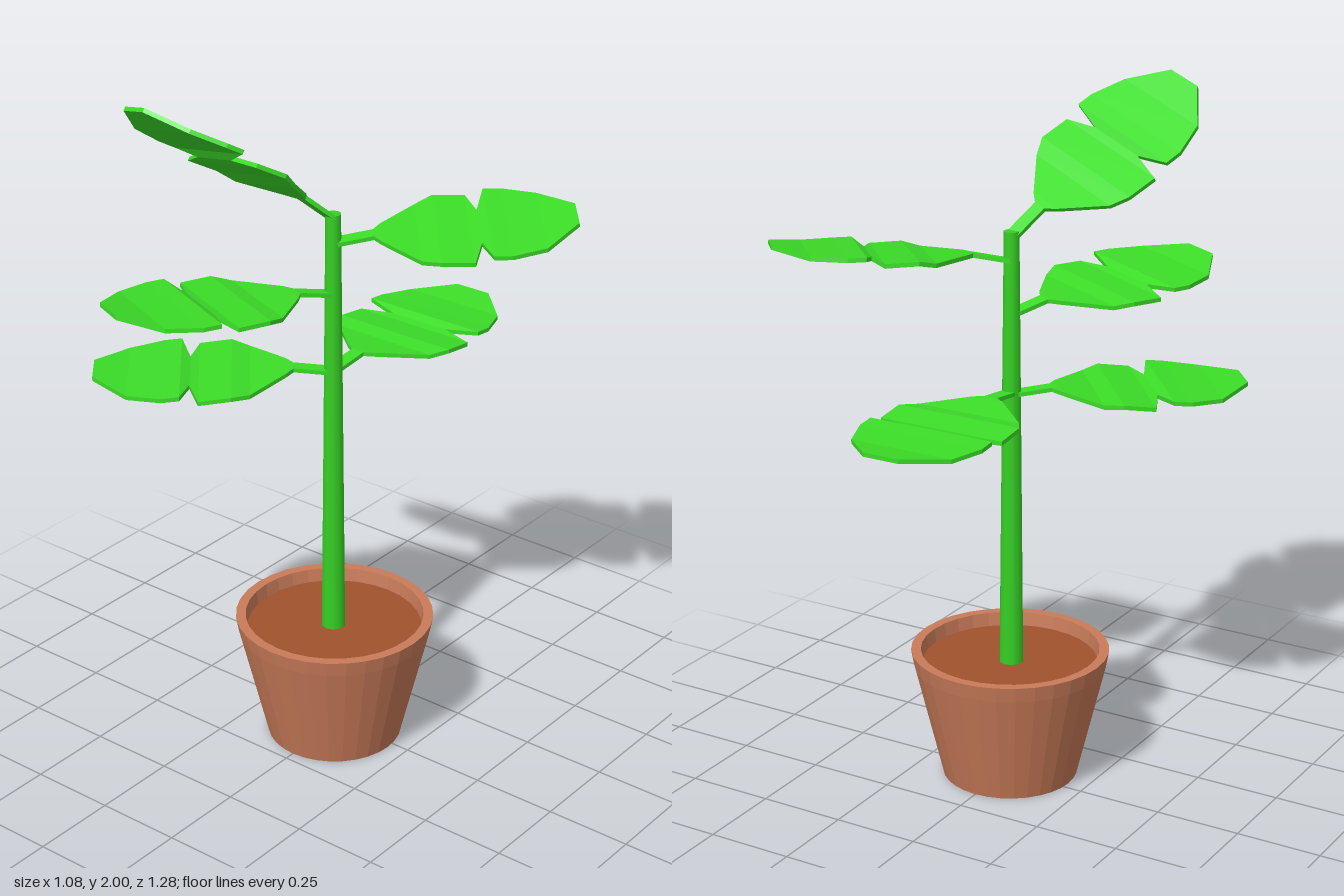
import * as THREE from 'three';

const mat = (color, extra = {}) => new THREE.MeshStandardMaterial({ color, ...extra });

// Leaf outline along its length: [distance, half width, height of the ripple]
const LEAF_ROWS = [
  [0, 0.02, -0.004], [0.11, 0.02, 0.008], [0.13, 0.05, 0.007], [0.23, 0.16, -0.004],
  [0.28, 0.19, 0.003], [0.37, 0.19, -0.008], [0.395, 0.092, -0.004], [0.42, 0.19, 0.007],
  [0.47, 0.19, 0.002], [0.565, 0.155, -0.004], [0.66, 0.055, 0.007],
];
const LEAF_HALF_THICKNESS = 0.006;

// Thin solid leaf with its stalk, running from the origin along +z
function leafGeometry() {
  const pos = [], index = [];
  const quad = (a, b, c, d) => index.push(a, b, c, a, c, d);
  const t = LEAF_HALF_THICKNESS;
  LEAF_ROWS.forEach(([d, w, y], i) => {
    pos.push(-w, y - t, d, w, y - t, d, w, y + t, d, -w, y + t, d);
    if (i === 0) return;
    const a = (i - 1) * 4, b = i * 4;
    for (let k = 0; k < 4; k++) {
      const n = (k + 1) % 4;
      quad(a + k, a + n, b + n, b + k);
    }
  });
  const last = (LEAF_ROWS.length - 1) * 4;
  quad(3, 2, 1, 0);
  quad(last, last + 1, last + 2, last + 3);
  const geo = new THREE.BufferGeometry();
  geo.setAttribute('position', new THREE.Float32BufferAttribute(pos, 3));
  geo.setIndex(index);
  geo.computeVertexNormals();
  return geo;
}

export function createModel() {
  const plant = new THREE.Group();
  plant.name = 'pottedPlant';
  plant.position.z = 0.025;

  const add = (name, geometry, material) => {
    const mesh = new THREE.Mesh(geometry, material);
    mesh.name = name;
    plant.add(mesh);
    return mesh;
  };

  // Tapered pot with a rim and a hollow top
  const potProfile = [
    [0, 0], [0.195, 0], [0.277, 0.34], [0.285, 0.385], [0.257, 0.385], [0.25, 0.33],
  ].map(([r, y]) => new THREE.Vector2(r, y));
  add('pot', new THREE.LatheGeometry(potProfile, 32),
    mat(0xc97b59, { flatShading: true, side: THREE.DoubleSide }));

  // Soil
  const soil = add('soil', new THREE.CircleGeometry(0.253, 32), mat(0xa0522d));
  soil.rotation.x = -Math.PI / 2;
  soil.position.y = 0.345;

  // Stem
  const green = mat(0x36d024);
  const stem = add('stem', new THREE.CylinderGeometry(0.022, 0.035, 1.285, 10), green);
  stem.position.set(-0.004, 0.9775, 0);

  // Leaves: height on the stem, heading around it, tilt in degrees
  const leafGeo = leafGeometry();
  const leafMat = mat(0x3cdc28, { flatShading: true });
  const rad = THREE.MathUtils.degToRad;
  [
    ['topLeaf', 1.61, -25, -38],
    ['upperLeaf', 1.54, 130, 8.5],
    ['middleLeaf', 1.39, -25, -6.5],
    ['lowerFrontLeaf', 1.158, -50, 0],
    ['lowerBackLeaf', 1.162, 180, 0],
  ].forEach(([name, y, heading, tilt]) => {
    const leaf = add(name, leafGeo, leafMat);
    leaf.position.set(-0.004, y, 0);
    leaf.rotation.set(rad(tilt), rad(heading), 0);
  });

  return plant;
}
